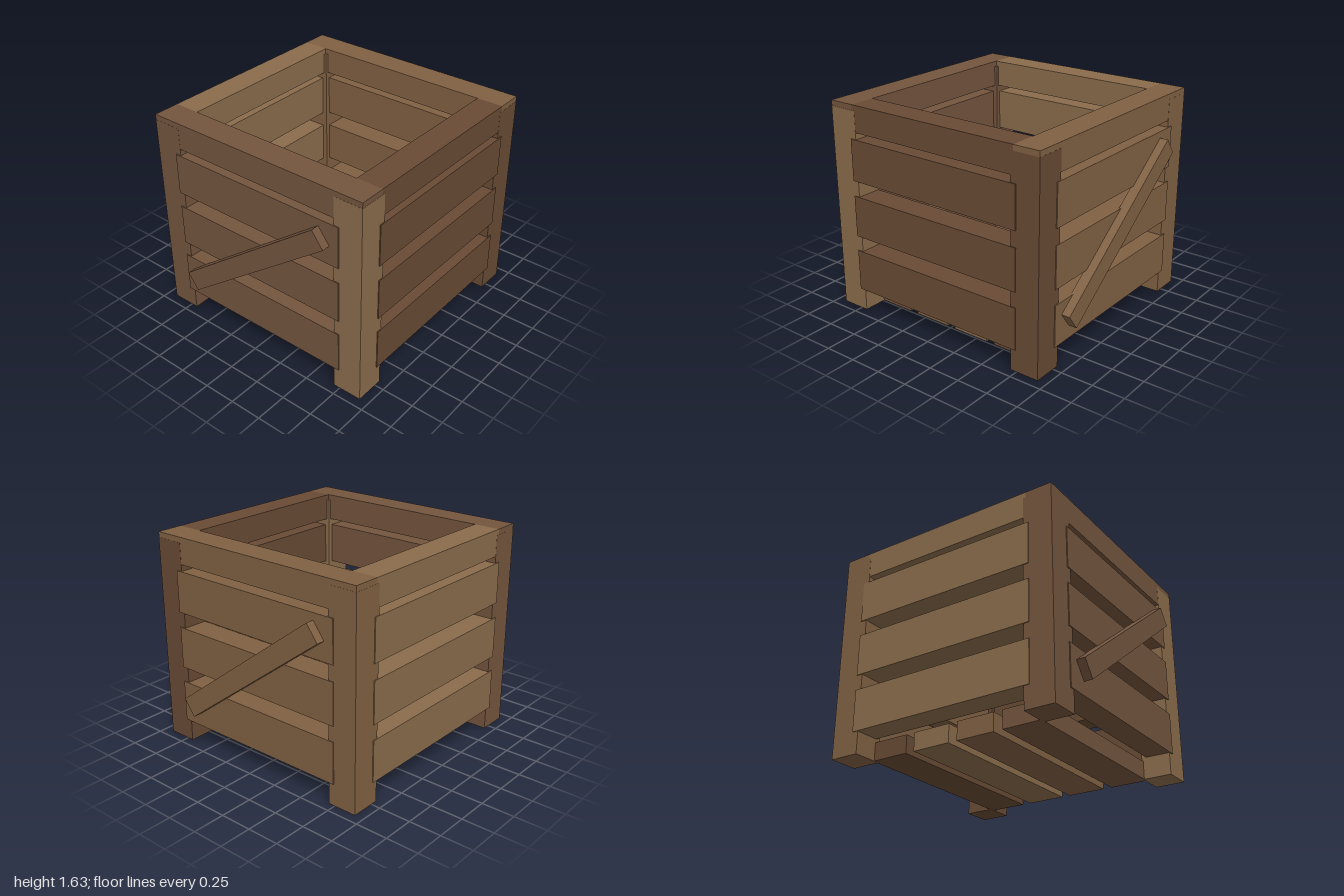
import * as THREE from 'three';

// Four wood tones
const tones = { front: 0x74553e, left: 0x684a34, back: 0x806042, right: 0x8a6c4c };
const wood = Object.fromEntries(Object.entries(tones).map(([key, color]) =>
  [key, new THREE.MeshStandardMaterial({ color, flatShading: true })]));

// Board given by its size and centre
function board(parent, name, tone, [w, h, d], [x, y, z]) {
  const mesh = new THREE.Mesh(new THREE.BoxGeometry(w, h, d), wood[tone]);
  mesh.name = name;
  mesh.position.set(x, y, z);
  parent.add(mesh);
  return mesh;
}

// One wall facing +z: three slats, a top rail and optionally a diagonal brace
function wall(name, tone, railLength, braced) {
  const group = new THREE.Group();
  group.name = name;
  for (const y of [0.33, 0.77, 1.212])
    board(group, 'wallSlat', tone, [1.485, 0.322, 0.2], [0, y, 0.835]);
  board(group, 'topRail', tone, [railLength, 0.205, 0.207], [0, 1.5275, 0.8235]);
  if (braced)
    board(group, 'diagonalBrace', tone, [1.554, 0.153, 0.08], [0, 0.795, 0.96]).rotation.z = Math.atan2(0.93, 1.245);
  return group;
}

export function createModel() {
  const crate = new THREE.Group();
  crate.name = 'woodenCrate';

  // Corner posts
  const posts = [[1, 1, 'right'], [1, -1, 'left'], [-1, 1, 'front'], [-1, -1, 'back']];
  for (const [sx, sz, tone] of posts)
    board(crate, 'cornerPost', tone, [0.23, 1.588, 0.23], [sx * 0.813, 0.794, sz * 0.813]);

  // Walls, turned a quarter each; side rails fit between the front and back rails
  ['front', 'left', 'back', 'right'].forEach((tone, i) => {
    const braced = i % 2 === 0;
    const side = wall(tone + 'Wall', tone, braced ? 1.854 : 1.44, braced);
    side.rotation.y = i * Math.PI / 2;
    crate.add(side);
  });

  // Floor slats from back to front
  ['left', 'right', 'back', 'front'].forEach((tone, i) =>
    board(crate, 'floorSlat', tone, [1.48, 0.14, 0.303], [0, 0.071, -0.558 + i * 0.372]));

  return crate;
}
